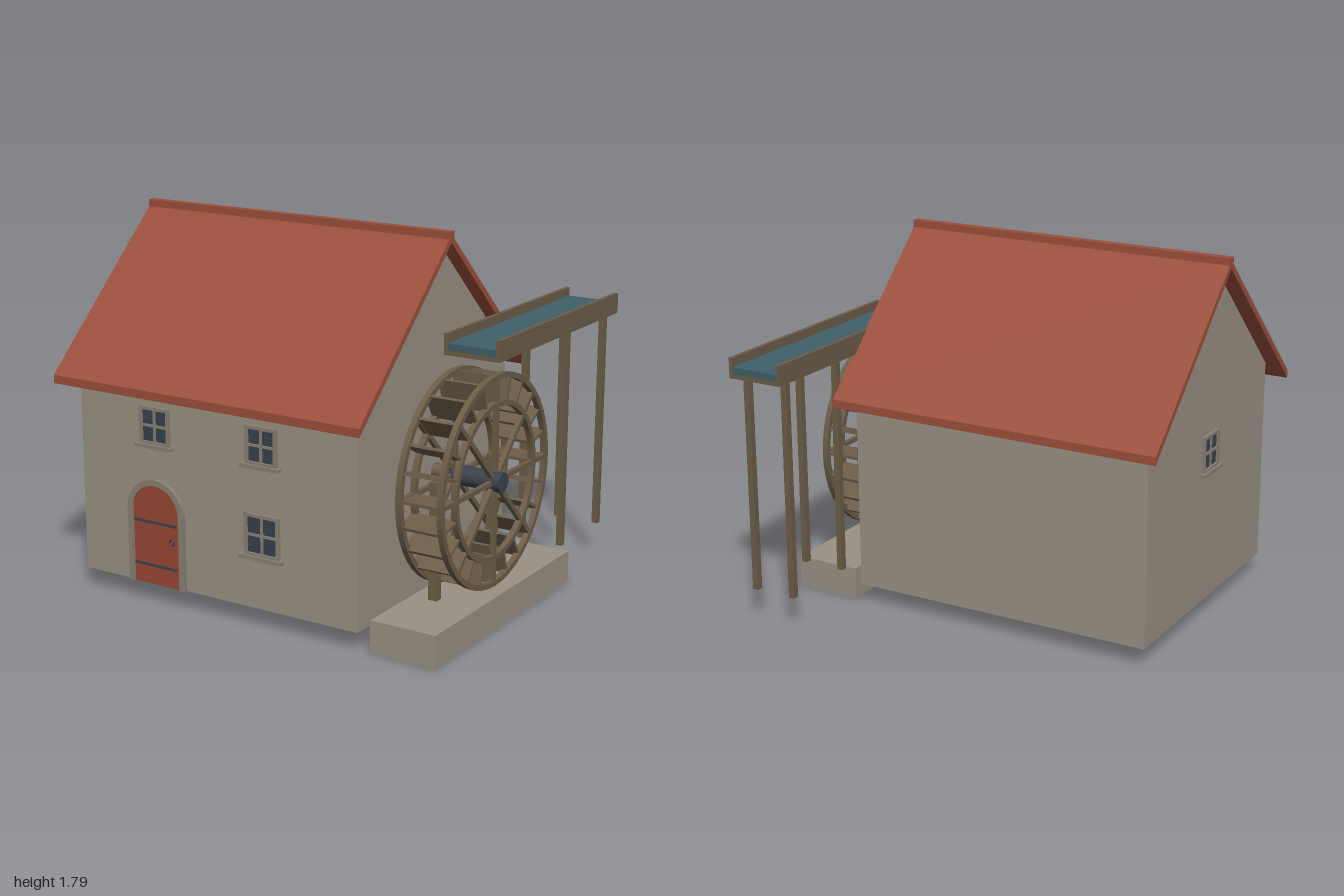
import * as THREE from 'three';
import { toCreasedNormals } from 'three/addons/utils/BufferGeometryUtils.js';

const mat = (name, color, extra = {}) => {
  const m = new THREE.MeshStandardMaterial({ color, ...extra });
  m.name = name;
  return m;
};

export function createModel() {
  const stone = mat('stone', 0x9a9184);
  const trim = mat('stone trim', 0x8a8174);
  const tile = mat('red tile', 0x9c4f3c);
  const doorRed = mat('door red', 0x984836);
  const wood = mat('wood', 0x6c5d48);
  const water = mat('water', 0x40606a);
  const iron = mat('dark iron', 0x3a424c);
  const glass = mat('window glass', 0x37424e);

  const model = new THREE.Group();
  model.name = 'watermill';
  const group = (name, parent = model) => {
    const g = new THREE.Group();
    g.name = name;
    parent.add(g);
    return g;
  };
  const mesh = (name, geo, material, parent = model) => {
    const m = new THREE.Mesh(geo, material);
    m.name = name;
    parent.add(m);
    return m;
  };
  // Box given by its minimum and maximum along each axis
  const box = (name, [x0, x1], [y0, y1], [z0, z1], material, parent) => {
    const m = mesh(name, new THREE.BoxGeometry(x1 - x0, y1 - y0, z1 - z0), material, parent);
    m.position.set((x0 + x1) / 2, (y0 + y1) / 2, (z0 + z1) / 2);
    return m;
  };
  const extrude = (shape, depth, curveSegments = 24) =>
    toCreasedNormals(new THREE.ExtrudeGeometry(shape, { depth, bevelEnabled: false, curveSegments }), 0.5);
  const polygon = pts => new THREE.Shape(pts.map(p => new THREE.Vector2(...p)));
  // Outline in the z-y plane, extruded along x
  const alongX = (name, shape, x0, x1, material, parent) => {
    const m = mesh(name, extrude(shape, x1 - x0), material, parent);
    m.rotation.y = Math.PI / 2;
    m.position.x = x0;
    return m;
  };

  const midZ = 0.205, frontZ = 0.868;

  // House body with gables, roof and ridge
  const house = group('house');
  alongX('walls', polygon([[-0.663, 0.095], [0.663, 0.095], [0.663, 1.112], [0, 1.735], [-0.663, 1.112]]),
    -0.92, 0.62, stone, house).position.z = midZ;
  alongX('roof', polygon([[-0.76, 1.02], [0, 1.734], [0.76, 1.02], [0.76, 1.06], [0, 1.772], [-0.76, 1.06]]),
    -1, 0.69, tile, house).position.z = midZ;
  box('ridge', [-1, 0.692], [1.745, 1.787], [midZ - 0.021, midZ + 0.021], tile, house);

  // Windows: frame with a hole, glass, glazing bars and sill, built facing +z
  const addWindow = (name, w, h) => {
    const g = group(name, house);
    const frame = polygon([[-w / 2, 0], [w / 2, 0], [w / 2, h], [-w / 2, h]]);
    const t = 0.016;
    frame.holes.push(new THREE.Path([[-w / 2 + t, t], [-w / 2 + t, h - t], [w / 2 - t, h - t], [w / 2 - t, t]]
      .map(p => new THREE.Vector2(...p))));
    mesh('windowFrame', extrude(frame, 0.016), trim, g);
    box('pane', [-w / 2 + t, w / 2 - t], [t, h - t], [0, 0.005], glass, g);
    box('uprightBar', [-0.006, 0.006], [t, h - t], [0.003, 0.012], trim, g);
    box('crossBar', [-w / 2 + t, w / 2 - t], [h / 2 - 0.006, h / 2 + 0.006], [0.003, 0.012], trim, g);
    box('sill', [-w / 2 - 0.02, w / 2 + 0.02], [-0.014, 0.004], [0, 0.028], trim, g);
    return g;
  };
  addWindow('upperLeftWindow', 0.17, 0.182).position.set(-0.48, 0.778, frontZ);
  addWindow('upperRightWindow', 0.17, 0.182).position.set(0.117, 0.778, frontZ);
  addWindow('lowerWindow', 0.19, 0.202).position.set(0.117, 0.348, frontZ);
  const sideWindow = addWindow('sideWindow', 0.17, 0.182);
  sideWindow.position.set(-0.92, 0.758, midZ);
  sideWindow.rotation.y = -Math.PI / 2;

  // Arched door with surround, hinge straps and ring handle
  const door = group('door', house);
  door.position.set(-0.482, 0.095, frontZ);
  const arch = (Type, r, spring) => {
    const s = new Type();
    s.moveTo(-r, 0);
    s.lineTo(r, 0);
    s.lineTo(r, spring);
    s.absarc(0, spring, r, 0, Math.PI, false);
    s.lineTo(-r, 0);
    return s;
  };
  const surround = new THREE.Shape();
  surround.moveTo(0.162, 0);
  surround.lineTo(0.162, 0.355);
  surround.absarc(0, 0.355, 0.162, 0, Math.PI, false);
  surround.lineTo(-0.162, 0);
  surround.lineTo(-0.133, 0);
  surround.lineTo(-0.133, 0.355);
  surround.absarc(0, 0.355, 0.133, Math.PI, 0, true);
  surround.lineTo(0.133, 0);
  mesh('doorSurround', extrude(surround, 0.02), trim, door);
  mesh('doorLeaf', extrude(arch(THREE.Shape, 0.133, 0.355), 0.009), doorRed, door);
  for (const y of [0.095, 0.307]) {
    box('hingeStrap', [-0.13, 0.113], [y - 0.006, y + 0.006], [0.008, 0.015], iron, door);
  }
  mesh('doorRing', new THREE.TorusGeometry(0.013, 0.004, 8, 20), iron, door).position.set(0.092, 0.228, 0.013);

  // Stone footing under the wheel
  box('wheelFooting', [0.67, 1], [0, 0.157], [-0.437, 0.842], stone);

  // Water wheel, built around its axle and turned about x
  const wheel = group('waterWheel');
  wheel.position.set(0, 0.67, midZ);
  const ring = (outer, inner) => {
    const s = new THREE.Shape();
    s.absarc(0, 0, outer, 0, Math.PI * 2, false);
    const hole = new THREE.Path();
    hole.absarc(0, 0, inner, 0, Math.PI * 2, true);
    s.holes.push(hole);
    return s;
  };
  for (const x of [0.709, 0.916]) {
    alongX('outerRim', ring(0.5, 0.474), x, x + 0.028, wood, wheel);
    alongX('innerRim', ring(0.374, 0.349), x, x + 0.028, wood, wheel);
    for (let i = 0; i < 4; i++) {
      box('spoke', [x + 0.003, x + 0.025], [-0.48, 0.48], [-0.011, 0.011], wood, wheel)
        .rotation.x = i * Math.PI / 4;
    }
  }
  const paddleGeo = new THREE.BoxGeometry(0.226, 0.13, 0.014);
  for (let i = 0; i < 24; i++) {
    const a = i * Math.PI / 12;
    const p = mesh('paddle', paddleGeo, wood, wheel);
    p.position.set(0.823, Math.cos(a) * 0.426, Math.sin(a) * 0.426);
    p.rotation.x = a;
  }
  const rod = (name, r, x0, x1, material) => {
    const m = mesh(name, new THREE.CylinderGeometry(r, r, x1 - x0, 24), material, wheel);
    m.rotation.z = Math.PI / 2;
    m.position.x = (x0 + x1) / 2;
  };
  rod('axle', 0.037, 0.6, 0.69, wood);
  rod('hub', 0.047, 0.672, 0.975, iron);

  // Posts standing inside the wheel
  for (const s of [-1, 1]) {
    const z = midZ + s * 0.265;
    box('axlePost', [0.757, 0.8], [0.15, 0.712], [z - 0.021, z + 0.021], wood);
  }

  // Raised water trough on four legs
  const trough = group('waterTrough');
  const run = [-0.97, 0.25];
  box('troughFloor', [0.69, 0.96], [1.233, 1.255], run, wood, trough);
  box('water', [0.703, 0.947], [1.255, 1.288], run, water, trough);
  for (const x of [0.683, 0.947]) box('troughSide', [x, x + 0.02], [1.233, 1.332], run, wood, trough);
  for (const x of [0.72, 0.931]) {
    for (const z of [-0.481, -0.881]) {
      box('troughLeg', [x - 0.015, x + 0.015], [0.163, 1.235], [z - 0.016, z + 0.016], wood, trough);
    }
  }
  return model;
}
